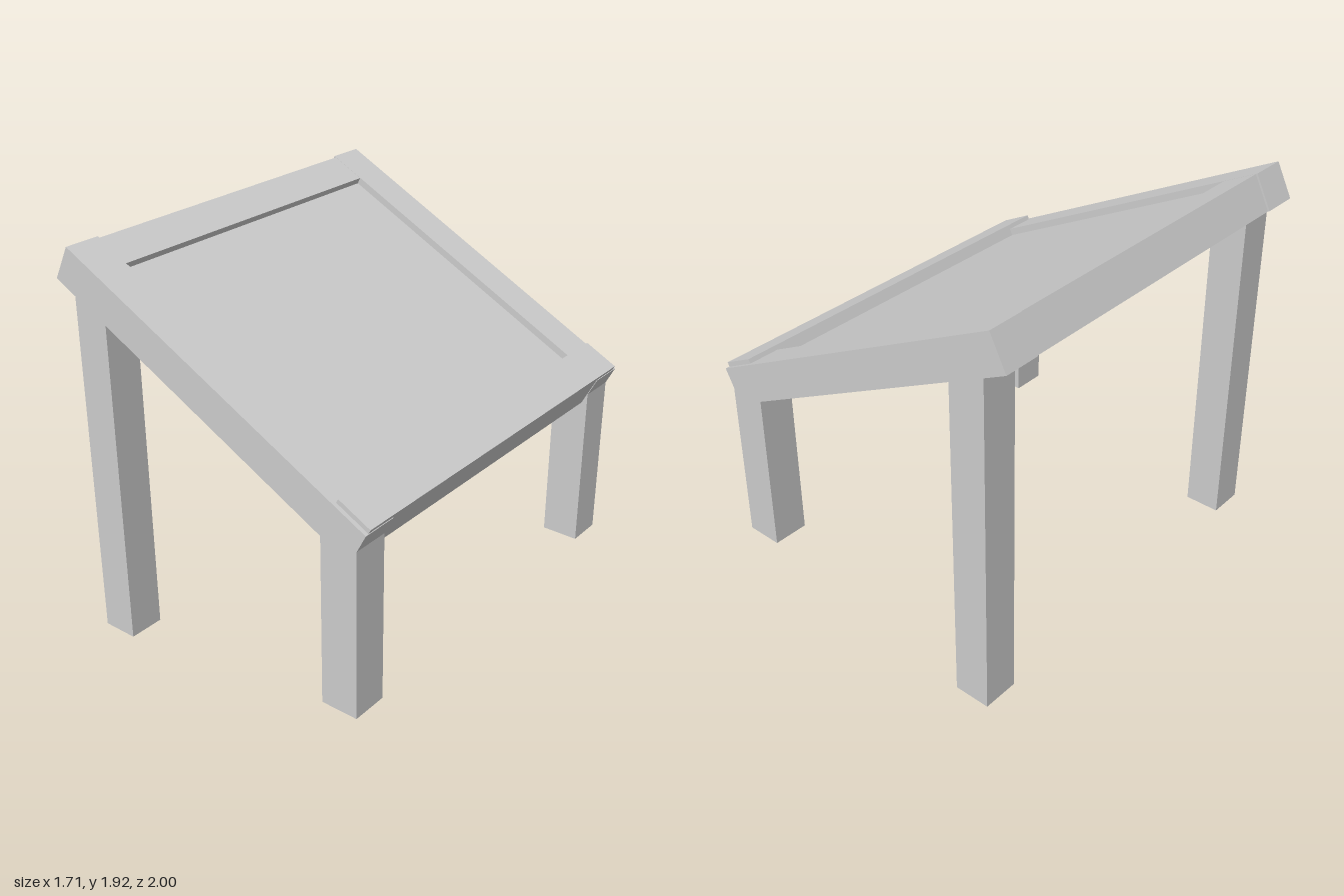
import * as THREE from 'three';

const material = new THREE.MeshStandardMaterial({ color: 0xcccccc });

// Box given by its min/max extents on each axis
function box(name, [x0, x1], [y0, y1], [z0, z1]) {
  const geometry = new THREE.BoxGeometry(x1 - x0, y1 - y0, z1 - z0);
  geometry.translate((x0 + x1) / 2, (y0 + y1) / 2, (z0 + z1) / 2);
  const mesh = new THREE.Mesh(geometry, material);
  mesh.name = name;
  return mesh;
}

export function createModel() {
  const model = new THREE.Group();
  model.name = 'slopedTable';

  const half = 1, beam = 0.18, inner = half - beam;
  const length = 1.818, slope = THREE.MathUtils.degToRad(27);

  // Sloped top: local x runs downhill from the upper edge, local y is its normal
  const top = new THREE.Group();
  top.name = 'slopedTop';
  top.position.set(-0.775, 1.925, 0);
  top.rotation.z = -slope;
  model.add(top);

  top.add(box('upperRail', [0.01, 0.19], [-beam, -0.001], [-inner, inner]));
  top.add(box('lowerRail', [1.635, 1.815], [-0.158, 0.022], [-0.98, 0.98]));
  top.add(box('panel', [0.15, 1.68], [-0.055, -0.035], [-inner, inner]));

  // Side beams and legs, mirrored front to back
  for (const [side, z] of [['front', [inner, half]], ['back', [-half, -inner]]]) {
    top.add(box(side + 'Beam', [0, length], [-beam, 0], z));
    model.add(box(side + 'TallLeg', [-0.745, -0.565], [0, 1.75], z));
    model.add(box(side + 'ShortLeg', [0.615, 0.8], [0.19, 1.015], z));
  }
  return model;
}
